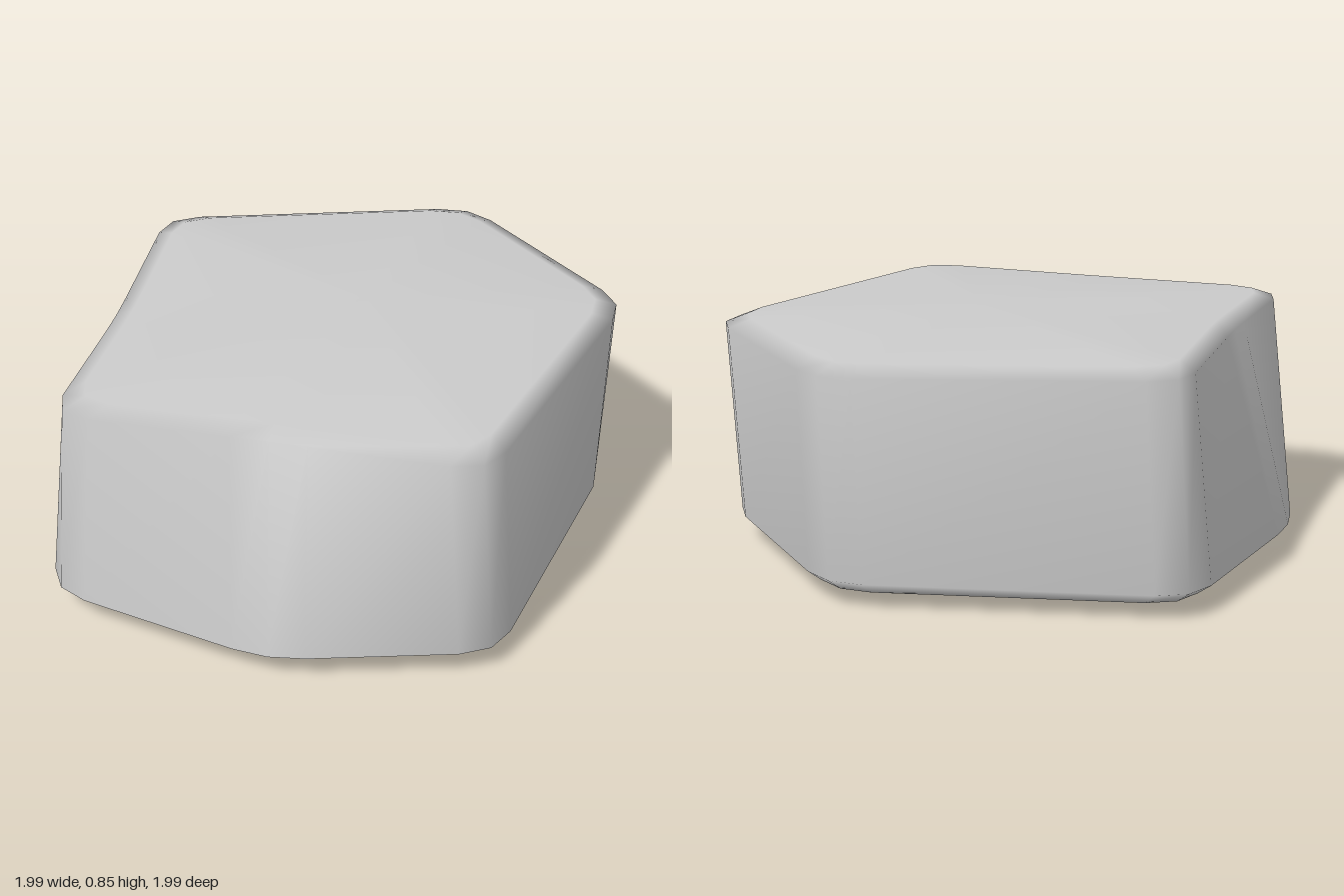
import * as THREE from 'three';

// Sharp corners [x, z], clockwise from above, starting at the back left
const TOP = [[-0.71, -0.855], [0.465, -1.01], [1.02, -0.24], [0.53, 0.905], [-0.18, 0.76], [-0.912, 0.635], [-0.79, -0.05]];
const BOTTOM = [[-0.755, -0.9], [0.45, -0.98], [0.985, -0.22], [0.58, 0.93], [-0.18, 1.01], [-0.945, 0.66], [-1.01, -0.07]];

// Soften each corner with three points on a small curve
function roundedOutline(corners, cut) {
  const points = corners.map(([x, z]) => new THREE.Vector2(x, z));
  const n = points.length;
  return points.flatMap((p, i) => {
    const towards = (q) => p.clone().add(q.clone().sub(p).setLength(cut));
    const start = towards(points[(i + n - 1) % n]);
    const end = towards(points[(i + 1) % n]);
    return new THREE.QuadraticBezierCurve(start, p, end).getPoints(2);
  });
}

export function createModel() {
  const top = roundedOutline(TOP, 0.13);
  const bottom = roundedOutline(BOTTOM, 0.13);
  const count = top.length;

  // Rings from the base to the top: outline, scale, height
  const rings = [[bottom, 0.94, 0.045], [bottom, 1, 0.09], [top, 1, 0.78], [top, 0.92, 0.81]];
  const positions = [];
  for (const [outline, scale, y] of rings) {
    for (const p of outline) positions.push(p.x * scale, y, p.y * scale);
  }

  // Slightly domed caps meet at one point each
  const low = rings.length * count;
  const high = low + 1;
  positions.push(0, 0, 0.1, 0.1, 0.85, -0.1);

  const index = [];
  const lastRing = (rings.length - 1) * count;
  for (let i = 0; i < count; i++) {
    const j = (i + 1) % count;
    for (let r = 0; r < rings.length - 1; r++) {
      const a = r * count + i, b = r * count + j;
      index.push(b, a, a + count, b, a + count, b + count);
    }
    index.push(low, i, j, high, lastRing + j, lastRing + i);
  }

  const geometry = new THREE.BufferGeometry();
  geometry.setAttribute('position', new THREE.Float32BufferAttribute(positions, 3));
  geometry.setIndex(index);
  geometry.computeVertexNormals();

  const rock = new THREE.Mesh(geometry, new THREE.MeshStandardMaterial({ color: 0xcccccc }));
  rock.name = 'rock';
  const group = new THREE.Group();
  group.name = 'flatRock';
  group.add(rock);
  return group;
}
